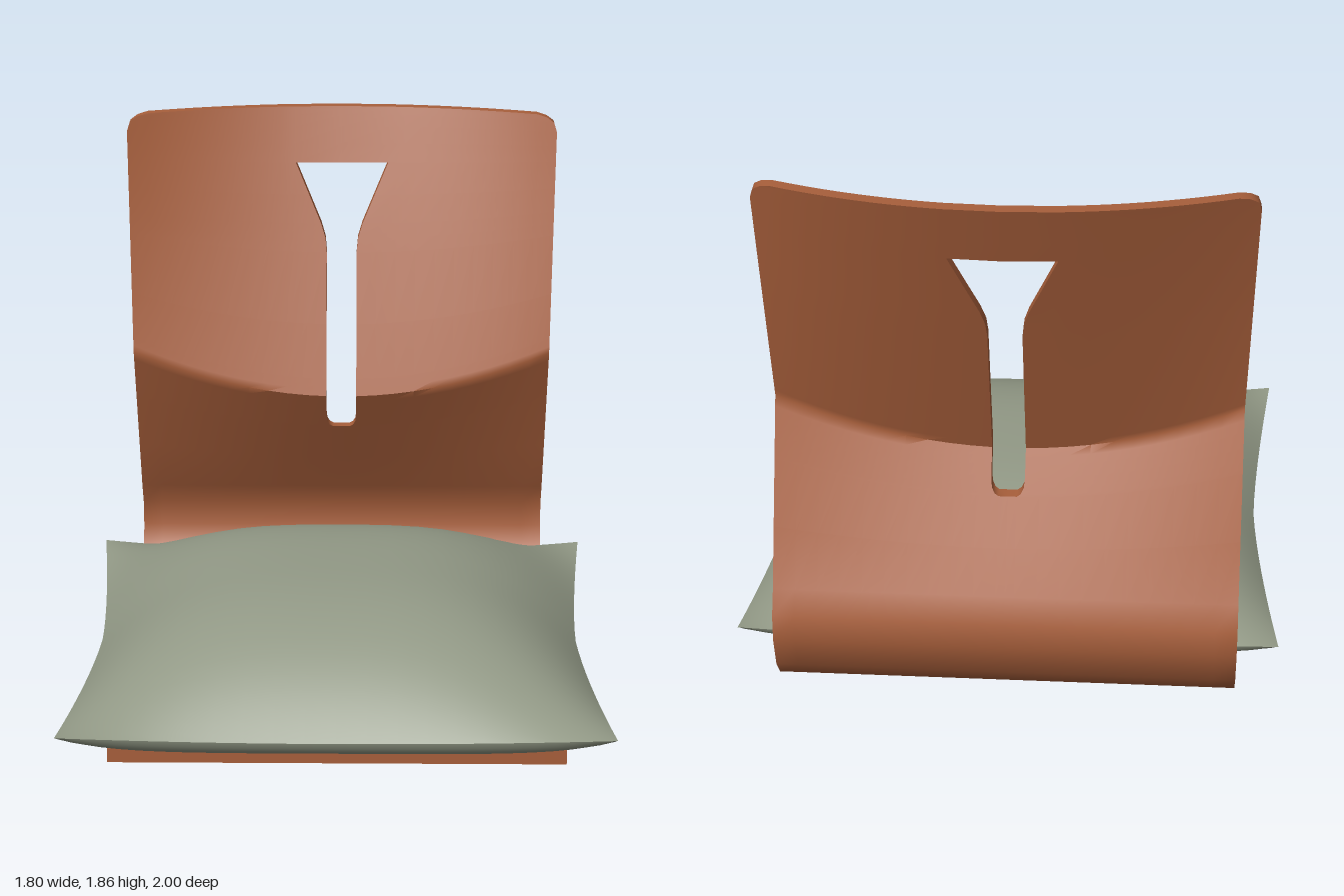
import * as THREE from 'three';
import { toCreasedNormals } from 'three/addons/utils/BufferGeometryUtils.js';

const lerp = THREE.MathUtils.lerp;

// Collects quads (corners counter-clockwise) and returns a smooth, creased geometry
function quadBuilder() {
  const pos = [];
  return {
    quad(a, b, c, d) { for (const p of [a, b, c, a, c, d]) pos.push(...p); },
    build(crease) {
      const g = new THREE.BufferGeometry();
      g.setAttribute('position', new THREE.Float32BufferAttribute(pos, 3));
      return toCreasedNormals(g, crease);
    },
  };
}

// Piecewise linear lookup in a list of [key, value]
function lookup(table, key) {
  if (key <= table[0][0]) return table[0][1];
  for (let i = 1; i < table.length; i++) {
    const [k0, v0] = table[i - 1], [k1, v1] = table[i];
    if (key <= k1) return lerp(v0, v1, (key - k0) / (k1 - k0));
  }
  return table[table.length - 1][1];
}

// Bent plywood shell: seat board, rear bend and curved backrest with a keyhole slot
function shellGeometry() {
  // Seat and bend: inner z, inner y, outer z, outer y
  const base = [
    [0.73, 0.05, 0.73, 0], [0.05, 0.05, 0.05, 0], [-0.6, 0.05, -0.61, 0],
    [-0.71, 0.065, -0.73, 0.018], [-0.78, 0.105, -0.815, 0.055], [-0.84, 0.167, -0.88, 0.13],
    [-0.87, 0.25, -0.92, 0.25], [-0.87, 0.34, -0.917, 0.34],
  ];
  // Backrest rows, by height on the centre line
  const knee = 0.85, slotLow = 0.71, slotHigh = 1.663;
  const back = [0.42, 0.56, slotLow, 0.718, 0.735, 0.765, 0.8, 0.825, knee, 0.875, 0.91, 1.1,
    1.35, 1.4, 1.45, 1.55, slotHigh, 1.73, 1.79, 1.83, 1.85, 1.86];
  const slotHalf = [[slotLow, 0.03], [0.718, 0.043], [0.735, 0.052], [0.765, 0.055],
    [1.35, 0.055], [1.4, 0.06], [1.45, 0.076], [slotHigh, 0.17]];
  const halfWidth = [[knee, 0.76], [1.79, 0.78], [1.83, 0.77], [1.85, 0.745], [1.86, 0.71]];

  const backPoint = (x, c, outer) => {
    const k = (x / 0.78) ** 2, kneeY = knee + 0.18 * k;
    let y, z;
    if (c <= knee) {
      const f = (c - 0.42) / (knee - 0.42);
      y = lerp(0.42, kneeY, f);
      z = lerp(-0.83, -0.6, f);
    } else {
      const f = (c - knee) / (1.86 - knee);
      y = lerp(kneeY, 1.86, f);
      z = -0.6 - f * (0.355 - 0.17 * k);
    }
    return [x, y, outer ? z - 0.046 : z];
  };

  const n = 10, cols = 2 * n + 2, rows = base.length + back.length - 1;
  const point = (i, j, outer) => {
    const c = i < base.length ? 0 : back[i - base.length];
    const h = lookup(slotHalf, c), w = lookup(halfWidth, c);
    const m = j - n - 1;
    const x = m === 0 ? 0 : Math.sign(m) * lerp(h, w, (Math.abs(m) - 1) / n);
    if (i >= base.length) return backPoint(x, c, outer);
    const r = base[i];
    return outer ? [x, r[3], r[2]] : [x, r[1], r[0]];
  };

  const firstSlot = base.length + back.indexOf(slotLow);
  const lastSlot = base.length + back.indexOf(slotHigh);
  const solid = (i, j) => i >= 0 && i < rows && j >= 0 && j < cols &&
    !(i >= firstSlot && i < lastSlot && (j === n || j === n + 1));

  const q = quadBuilder();
  for (let i = 0; i < rows; i++) for (let j = 0; j < cols; j++) {
    if (!solid(i, j)) continue;
    const corners = [[i, j], [i, j + 1], [i + 1, j + 1], [i + 1, j]];
    const inner = corners.map(([a, b]) => point(a, b, false));
    const outer = corners.map(([a, b]) => point(a, b, true));
    q.quad(...inner);
    q.quad(outer[3], outer[2], outer[1], outer[0]);
    // Edge walls wherever the neighbouring cell is empty
    [[i - 1, j], [i, j + 1], [i + 1, j], [i, j - 1]].forEach(([a, b], e) => {
      const f = (e + 1) % 4;
      if (!solid(a, b)) q.quad(inner[e], outer[e], outer[f], inner[f]);
    });
  }
  return q.build(0.8);
}

// Pillow with pinched corners and edges drawn inwards
function cushionGeometry() {
  const N = 28;
  const param = (i) => Math.sin((i / N - 0.5) * Math.PI);
  const point = (i, j, top) => {
    const u = param(j), v = param(i);
    const x = u * (0.9 - 0.07 * (1 - Math.abs(v) ** 1.4));
    const z = 0.103 + v * (0.895 - (v > 0 ? 0.042 : 0.025) * (1 - u * u));
    const seam = 0.21 - 0.035 * (1 - u * u * v * v);
    const swell = top
      ? (1 - Math.abs(u) ** 3) * (1 - Math.abs(v) ** 3)
      : Math.sqrt(Math.max(0, (1 - u ** 4) * (1 - v ** 4)));
    return [x, lerp(seam, top ? 0.482 : 0.051, swell), z];
  };
  const q = quadBuilder();
  for (let i = 0; i < N; i++) for (let j = 0; j < N; j++) {
    for (const top of [true, false]) {
      const c = [[i, j], [i + 1, j], [i + 1, j + 1], [i, j + 1]].map(([a, b]) => point(a, b, top));
      q.quad(...(top ? c : c.reverse()));
    }
  }
  return q.build(0.8);
}

export function createModel() {
  const wood = new THREE.MeshStandardMaterial({ color: 0xa85f3b });
  wood.name = 'wood';
  const fabric = new THREE.MeshStandardMaterial({ color: 0x929986 });
  fabric.name = 'fabric';

  const model = new THREE.Group();
  model.name = 'floorChair';
  const add = (name, geometry, material) => {
    const mesh = new THREE.Mesh(geometry, material);
    mesh.name = name;
    model.add(mesh);
  };
  add('bentShell', shellGeometry(), wood);
  add('cushion', cushionGeometry(), fabric);
  return model;
}
